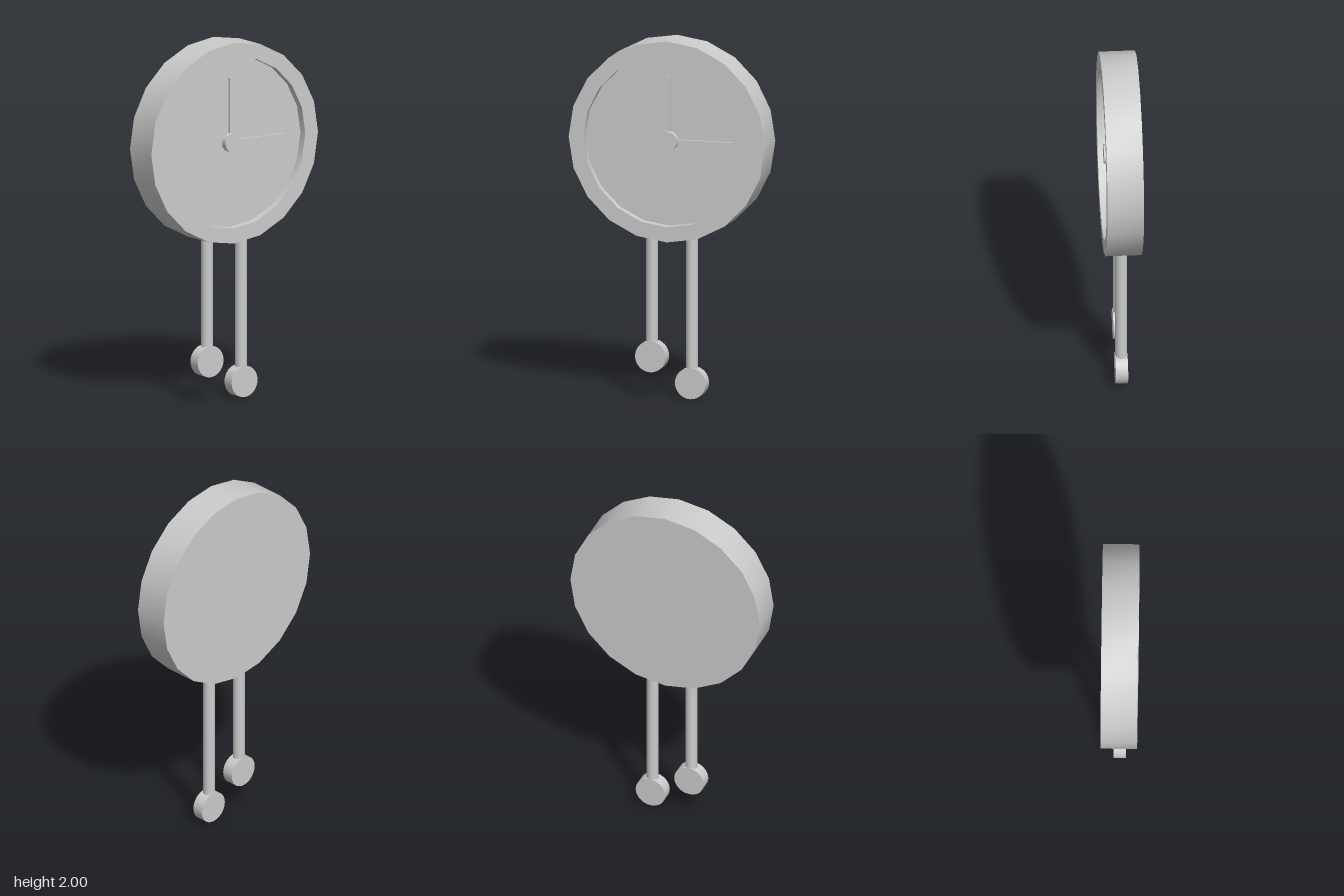
import * as THREE from 'three';
import { toCreasedNormals } from 'three/addons/utils/BufferGeometryUtils.js';

const material = new THREE.MeshStandardMaterial({ color: 0xcccccc });
const CENTRE_Y = 1.44;

export function createModel() {
  const model = new THREE.Group();

  function add(name, geometry, x, y, z) {
    const mesh = new THREE.Mesh(geometry, material);
    mesh.name = name;
    mesh.position.set(x, y, z);
    model.add(mesh);
    return mesh;
  }

  // Disc whose flat side faces front
  const disc = (radius, depth, sides) =>
    new THREE.CylinderGeometry(radius, radius, depth, sides).rotateX(Math.PI / 2);

  // Twenty-sided case with a raised rim around the recessed dial
  const profile = [[0, -0.1], [0.56, -0.1], [0.56, 0.1], [0.475, 0.1], [0.475, 0.055], [0, 0.055]]
    .map(([r, z]) => new THREE.Vector2(r, z));
  const caseGeometry = new THREE.LatheGeometry(profile, 20).rotateX(Math.PI / 2);
  add('clockCase', toCreasedNormals(caseGeometry, 0.5), 0, CENTRE_Y, 0);

  // Hands and hub
  add('minuteHand', new THREE.BoxGeometry(0.02, 0.36, 0.02), 0, CENTRE_Y + 0.18, 0.06);
  add('hourHand', new THREE.BoxGeometry(0.36, 0.02, 0.02), 0.18, CENTRE_Y, 0.06);
  add('handHub', disc(0.053, 0.04, 32), 0, CENTRE_Y, 0.07);

  // Two hanging rods with round weights, at different heights
  const rodTop = 0.95;
  for (const [side, x, weightY] of [['right', -0.114, 0.224], ['left', 0.114, 0.087]]) {
    const length = rodTop - weightY;
    add(side + 'Rod', new THREE.CylinderGeometry(0.033, 0.033, length, 24), x, weightY + length / 2, 0);
    add(side + 'Weight', disc(0.087, 0.068, 32), x, weightY, 0);
  }

  return model;
}
